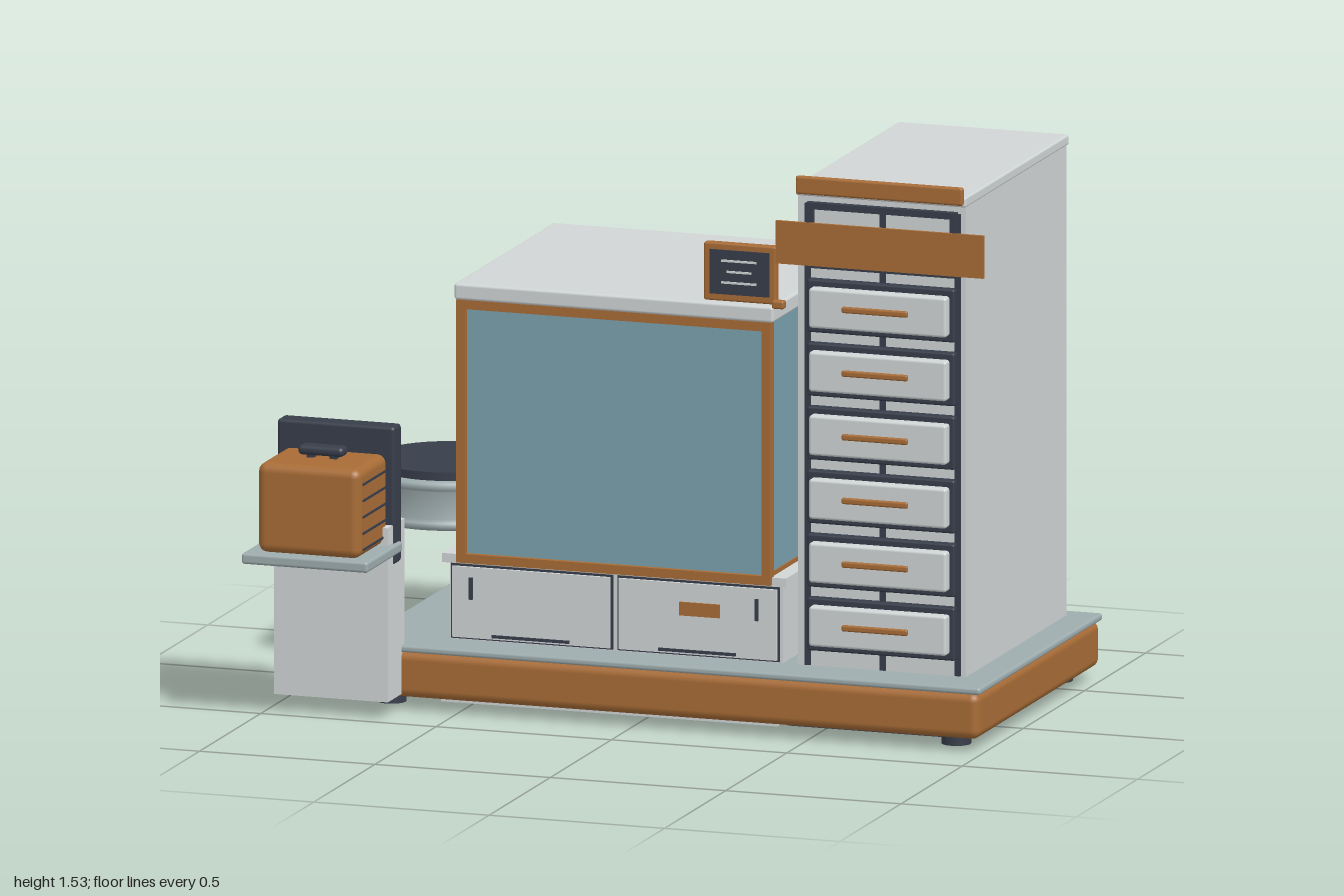
import * as THREE from 'three';
import { RoundedBoxGeometry } from 'three/addons/geometries/RoundedBoxGeometry.js';

const mat = (name, color, side = THREE.FrontSide) => {
  const m = new THREE.MeshStandardMaterial({ color, side });
  m.name = name;
  return m;
};

export function createModel() {
  const root = new THREE.Group();
  const wood = mat('wood', 0xa86c36);
  const light = mat('lightGrey', 0xd0d5d6);
  const grey = mat('blueGrey', 0x9eacae);
  const dark = mat('darkSlate', 0x373d4a);
  const glass = mat('tealGlass', 0x7aa2af, THREE.DoubleSide);
  const white = mat('white', 0xf4f4f2);

  const group = (name) => {
    const g = new THREE.Group();
    g.name = name;
    root.add(g);
    return g;
  };
  // Box from its limits on each axis, optionally rounded
  const box = (g, name, m, x0, x1, y0, y1, z0, z1, r = 0) => {
    const s = [x1 - x0, y1 - y0, z1 - z0];
    const geo = r ? new RoundedBoxGeometry(...s, 3, r) : new THREE.BoxGeometry(...s);
    const mesh = new THREE.Mesh(geo, m);
    mesh.position.set((x0 + x1) / 2, (y0 + y1) / 2, (z0 + z1) / 2);
    mesh.name = name;
    g.add(mesh);
    return mesh;
  };
  // Upright cylinder from y0 to y1
  const cyl = (g, name, m, r, x, z, y0, y1) => {
    const mesh = new THREE.Mesh(new THREE.CylinderGeometry(r, r, y1 - y0, 40), m);
    mesh.position.set(x, (y0 + y1) / 2, z);
    mesh.name = name;
    g.add(mesh);
  };
  // Rectangular frame of four bars facing z
  const frame = (g, name, m, x0, x1, y0, y1, z0, z1, t) => {
    box(g, name, m, x0, x1, y1 - t, y1, z0, z1);
    box(g, name, m, x0, x1, y0, y0 + t, z0, z1);
    box(g, name, m, x0, x0 + t, y0 + t, y1 - t, z0, z1);
    box(g, name, m, x1 - t, x1, y0 + t, y1 - t, z0, z1);
  };

  // Base with bottom panels and feet
  const base = group('base');
  box(base, 'plinth', wood, -0.785, 0.99, 0.04, 0.168, -0.66, 0.34, 0.025);
  box(base, 'topPlate', grey, -0.79, 0.995, 0.165, 0.185, -0.665, 0.34, 0.008);
  box(base, 'lightBottomPanel', light, -0.57, 0.39, 0.02, 0.05, -0.52, 0.26);
  box(base, 'darkBottomPanel', dark, 0.42, 0.93, 0.025, 0.05, -0.57, 0.26);
  for (const x of [-0.71, 0.9]) for (const z of [-0.57, 0.26])
    cyl(base, 'foot', dark, 0.04, x, z, 0.012, 0.05);
  for (const x of [-0.48, 0.31, 0.49, 0.84]) for (const z of [-0.46, 0.14])
    cyl(base, 'smallFoot', dark, 0.025, x, z, 0.005, 0.03);

  // Lower cabinet of the booth
  const cab = group('lowerCabinet');
  box(cab, 'cabinetBody', light, -0.56, 0.39, 0.185, 0.4, -0.55, 0.215);
  box(cab, 'cabinetTop', light, -0.58, 0.4, 0.395, 0.42, -0.55, 0.22);
  for (const [x0, x1, hx] of [[-0.55, -0.1, -0.495], [-0.075, 0.375, 0.32]]) {
    box(cab, 'doorGap', dark, x0 - 0.006, x1 + 0.006, 0.188, 0.394, 0.213, 0.219);
    box(cab, 'door', light, x0, x1, 0.193, 0.388, 0.213, 0.228);
    box(cab, 'doorPull', dark, hx - 0.005, hx + 0.005, 0.3, 0.36, 0.228, 0.235);
    const c = (x0 + x1) / 2;
    box(cab, 'doorVent', dark, c - 0.11, c + 0.11, 0.198, 0.206, 0.228, 0.233);
  }
  box(cab, 'doorLabel', wood, 0.1, 0.215, 0.3, 0.337, 0.228, 0.234);

  // Booth: framed glass on three sides, open at the back
  const booth = group('booth');
  box(booth, 'roof', light, -0.54, 0.37, 1.125, 1.17, -0.57, 0.24, 0.008);
  frame(booth, 'frontFrame', wood, -0.535, 0.36, 0.4, 1.125, 0.205, 0.235, 0.025);
  frame(booth, 'backFrame', wood, -0.535, 0.36, 0.4, 1.125, -0.565, -0.54, 0.025);
  box(booth, 'frontGlass', glass, -0.512, 0.337, 0.42, 1.102, 0.212, 0.22);
  for (const x of [-0.528, 0.346]) {
    box(booth, 'sideGlass', glass, x, x + 0.007, 0.42, 1.125, -0.54, 0.205);
    box(booth, 'sideRail', wood, x - 0.004, x + 0.011, 0.42, 0.432, -0.54, 0.205);
  }
  // White backdrop inside
  box(booth, 'floorLiner', white, -0.52, 0.344, 0.42, 0.428, -0.54, 0.205);
  box(booth, 'frontLiner', white, -0.512, 0.337, 0.428, 1.1, 0.198, 0.204);
  for (const x of [-0.518, 0.336])
    box(booth, 'sideLiner', white, x, x + 0.006, 0.428, 1.1, -0.25, 0.2);
  // Overhead rig: two posts, a crossbar, a hanging dish and a ceiling ring
  const rx = -0.08, rz = -0.28;
  for (const x of [-0.48, 0.31])
    box(booth, 'rigPost', dark, x - 0.025, x + 0.025, 0.428, 0.95, rz - 0.025, rz + 0.025);
  box(booth, 'rigCrossbar', grey, -0.5, 0.33, 0.84, 0.88, rz - 0.02, rz + 0.02);
  cyl(booth, 'rigRod', grey, 0.014, rx, rz, 0.78, 1.125);
  cyl(booth, 'hangingDish', light, 0.2, rx, rz, 0.745, 0.785);
  const ring = new THREE.Mesh(new THREE.TorusGeometry(0.2, 0.018, 10, 48), grey);
  ring.name = 'ceilingRing';
  ring.rotation.x = Math.PI / 2;
  ring.position.set(rx, 1.09, rz);
  booth.add(ring);

  // Padded round drums: one in the booth, one at its side
  const drum = (name, x, z) => {
    const g = group(name);
    const pts = [[0, 0.43], [0.21, 0.43], [0.222, 0.437], [0.222, 0.452], [0.208, 0.46],
      [0.208, 0.535], [0.222, 0.542], [0.222, 0.56], [0.2, 0.565], [0, 0.565]];
    const body = new THREE.Mesh(new THREE.LatheGeometry(
      pts.map((p) => new THREE.Vector2(...p)), 48), grey);
    body.name = 'drumBody';
    body.position.set(x, 0, z);
    g.add(body);
    cyl(g, 'drumPad', dark, 0.198, x, z, 0.56, 0.588);
  };
  drum('turntable', rx, rz);
  drum('sideDrum', -0.71, -0.2);
  box(cab, 'drumBracket', light, -0.68, -0.54, 0.41, 0.432, -0.27, -0.13);

  // Small board on the roof
  const sign = group('roofBoard');
  box(sign, 'boardFrame', wood, 0.162, 0.368, 1.17, 1.33, 0.185, 0.212, 0.006);
  box(sign, 'boardFace', dark, 0.18, 0.35, 1.19, 1.312, 0.21, 0.216);
  [[0.05, 1.283], [0.035, 1.253], [0.05, 1.223]].forEach(([w, y]) =>
    box(sign, 'boardLine', light, 0.265 - w, 0.265 + w, y - 0.003, y + 0.003, 0.215, 0.219));
  cyl(sign, 'boardProp', grey, 0.016, 0.265, 0.158, 1.17, 1.25);
  box(sign, 'propFoot', grey, 0.25, 0.28, 1.17, 1.19, 0.15, 0.19);

  // Drawer tower
  const tower = group('drawerTower');
  box(tower, 'towerBody', light, 0.432, 0.912, 0.185, 1.485, -0.605, 0.215);
  box(tower, 'towerBack', light, 0.437, 0.907, 0.185, 1.48, -0.618, -0.6);
  box(tower, 'towerCap', light, 0.428, 0.915, 1.48, 1.508, -0.62, 0.225, 0.006);
  for (const x of [0.462, 0.676, 0.889])
    box(tower, 'drawerRail', dark, x - 0.008, x + 0.008, 0.187, 1.46, 0.212, 0.223);
  for (let i = 0; i < 6; i++) {
    const y = 0.305 + i * 0.1755;
    box(tower, 'drawerFrame', dark, 0.468, 0.888, y - 0.073, y + 0.073, 0.213, 0.243, 0.006);
    box(tower, 'drawerFront', light, 0.482, 0.874, y - 0.055, y + 0.055, 0.235, 0.272, 0.008);
    box(tower, 'drawerHandle', wood, 0.582, 0.77, y - 0.003, y + 0.014, 0.278, 0.291, 0.005);
    for (const x of [0.61, 0.74])
      box(tower, 'handlePost', wood, x - 0.006, x + 0.006, y, y + 0.011, 0.27, 0.28);
  }
  frame(tower, 'topBayFrame', dark, 0.462, 0.889, 1.285, 1.465, 0.213, 0.235, 0.018);
  box(tower, 'towerCrest', wood, 0.435, 0.912, 1.488, 1.538, 0.228, 0.246, 0.007);
  box(tower, 'towerBanner', wood, 0.378, 0.97, 1.292, 1.41, 0.232, 0.241);
  box(tower, 'bannerPeg', wood, 0.365, 0.4, 1.165, 1.188, 0.215, 0.24, 0.006);

  // Boxes and a rod on the tower side
  for (const y of [0.57, 0.74, 0.91, 1.08, 1.25])
    box(tower, 'sideTray', light, 0.392, 0.434, y - 0.045, y + 0.045, -0.5, -0.04, 0.006);
  cyl(tower, 'sideRod', grey, 0.011, 0.377, -0.48, 0.43, 1.42);
  for (const y of [0.6, 1.2])
    box(tower, 'rodClip', grey, 0.372, 0.434, y - 0.012, y + 0.012, -0.54, -0.47);

  // Side stand with shelf, back board and ribbed case
  const stand = group('sideStand');
  box(stand, 'standPost', light, -0.98, -0.655, 0.05, 0.53, 0.312, 0.45);
  box(stand, 'standShelf', grey, -1, -0.64, 0.45, 0.48, 0.37, 0.66, 0.008);
  box(stand, 'backBoard', dark, -0.985, -0.65, 0.42, 0.8, 0.35, 0.41, 0.01);
  box(stand, 'caseBody', wood, -0.963, -0.67, 0.48, 0.727, 0.405, 0.64, 0.025);
  box(stand, 'caseHandle', dark, -0.882, -0.752, 0.735, 0.762, 0.492, 0.54, 0.012);
  for (const x of [-0.85, -0.785])
    box(stand, 'handleLeg', dark, x - 0.01, x + 0.01, 0.72, 0.742, 0.506, 0.526);
  for (let i = 0; i < 5; i++) for (const x of [-0.963, -0.67])
    box(stand, 'caseGroove', dark, x - 0.003, x + 0.003,
      0.5 + i * 0.045, 0.506 + i * 0.045, 0.43, 0.612);

  return root;
}
